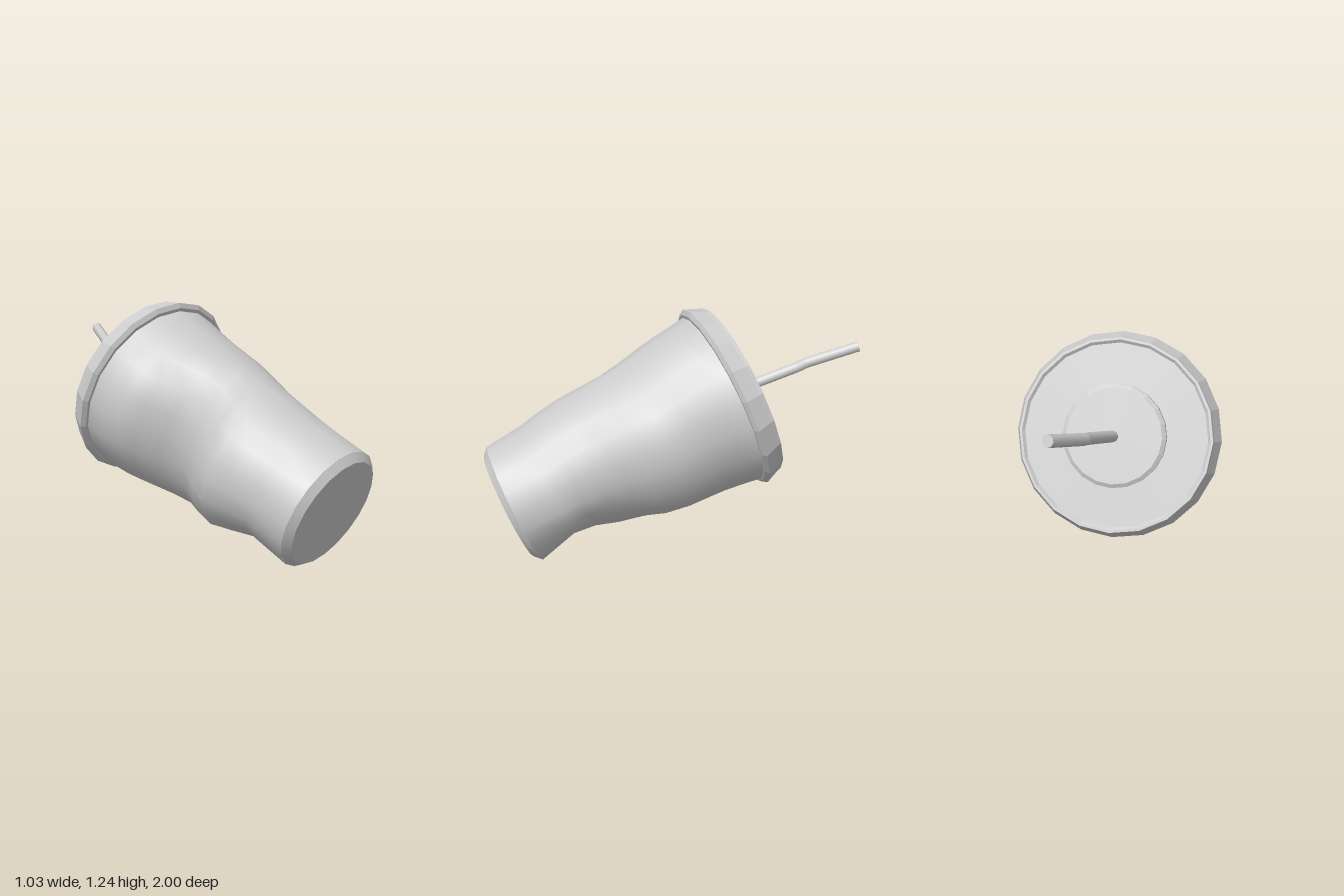
import * as THREE from 'three';
import { mergeVertices } from 'three/addons/utils/BufferGeometryUtils.js';

const SIDES = 20;
const smooth = new THREE.MeshStandardMaterial({ color: 0xcccccc, side: THREE.DoubleSide });
const flat = new THREE.MeshStandardMaterial({ color: 0xcccccc, side: THREE.DoubleSide, flatShading: true });

function addMesh(parent, name, geometry, material) {
  const mesh = new THREE.Mesh(geometry, material);
  mesh.name = name;
  parent.add(mesh);
  return mesh;
}

// Crumpled wall rings, bottom to top: height, centre x, left, right, upper and lower reach, corner dent
const RINGS = [
  [0.035, 0.035, -0.29, 0.362, 0.326, -0.331, 0],
  [0.237, 0.02, -0.335, 0.36, 0.342, -0.29, 0.06],
  [0.35, 0, -0.365, 0.358, 0.36, -0.335, 0.12],
  [0.47, 0, -0.39, 0.362, 0.376, -0.386, 0.12],
  [0.58, 0, -0.345, 0.378, 0.388, -0.4, 0.06],
  [0.71, 0, -0.262, 0.425, 0.405, -0.418, 0],
  [0.84, 0, -0.33, 0.46, 0.42, -0.434, 0],
  [0.96, 0, -0.42, 0.45, 0.437, -0.448, 0],
  [1.05, 0, -0.46, 0.442, 0.45, -0.46, 0],
  [1.15, 0, -0.475, 0.458, 0.463, -0.473, 0],
  [1.26, 0, -0.482, 0.482, 0.478, -0.487, 0],
];

function wallGeometry() {
  let geo = new THREE.CylinderGeometry(1, 1, 1, SIDES, RINGS.length - 1, true);
  const pos = geo.attributes.position;
  for (let i = 0; i < pos.count; i++) {
    const row = RINGS.length - 1 - Math.floor(i / (SIDES + 1));
    const [t, cx, left, right, upper, lower, dent] = RINGS[row];
    const s = pos.getX(i), c = pos.getZ(i);
    // valley pressed into the lower right corner of the ring
    const angle = Math.atan2(c, s) + Math.PI / 4;
    const k = 1 - dent * Math.exp(-((angle / 0.6) ** 2));
    const x = s > 0 ? s * (right - cx) : s * (cx - left);
    const z = c > 0 ? c * upper : -c * lower;
    pos.setXYZ(i, cx + x * k, t, z * k);
  }
  geo.deleteAttribute('uv');
  geo.deleteAttribute('normal');
  geo = mergeVertices(geo, 1e-4);
  geo.computeVertexNormals();
  return geo;
}

function lathe(points) {
  return new THREE.LatheGeometry(points.map(([r, y]) => new THREE.Vector2(r, y)), SIDES);
}

export function createModel() {
  const model = new THREE.Group();
  model.name = 'tiltedTakeawayCup';

  // Cup and lid are built upright, then tipped backwards
  const cup = new THREE.Group();
  cup.name = 'cup';
  cup.position.set(0, 0.3, 0.895);
  cup.rotation.x = -1.197;
  model.add(cup);

  addMesh(cup, 'cupWall', wallGeometry(), smooth);
  const base = addMesh(cup, 'cupBase', new THREE.CylinderGeometry(0.327, 0.29, 0.035, SIDES), smooth);
  base.position.set(0.035, 0.0175, 0);

  // Lid with a flared rim and a shallow recessed top
  addMesh(cup, 'lid', lathe([
    [0.46, 1.25], [0.495, 1.25], [0.517, 1.268], [0.5, 1.31], [0.486, 1.345],
    [0.48, 1.366], [0.468, 1.366], [0.455, 1.354], [0, 1.354],
  ]), flat);
  // Raised disc around the straw hole
  addMesh(cup, 'lidDisc', lathe([[0.256, 1.35], [0.256, 1.385], [0.236, 1.398], [0, 1.398]]), flat);

  // Straw with a small kink, closed at its tip
  const path = new THREE.CatmullRomCurve3([
    new THREE.Vector3(-0.005, 0.79, -0.36),
    new THREE.Vector3(0.067, 0.915, -0.68),
    new THREE.Vector3(0.068, 0.936, -0.735),
    new THREE.Vector3(0.167, 1.035, -0.988),
  ], false, 'catmullrom', 0);
  addMesh(model, 'straw', new THREE.TubeGeometry(path, 32, 0.029, 8), smooth);
  const tip = addMesh(model, 'strawTip', new THREE.CircleGeometry(0.029, 8), smooth);
  tip.position.copy(path.getPointAt(1));
  tip.lookAt(tip.position.clone().add(new THREE.Vector3(0.099, 0.099, -0.253)));

  return model;
}
